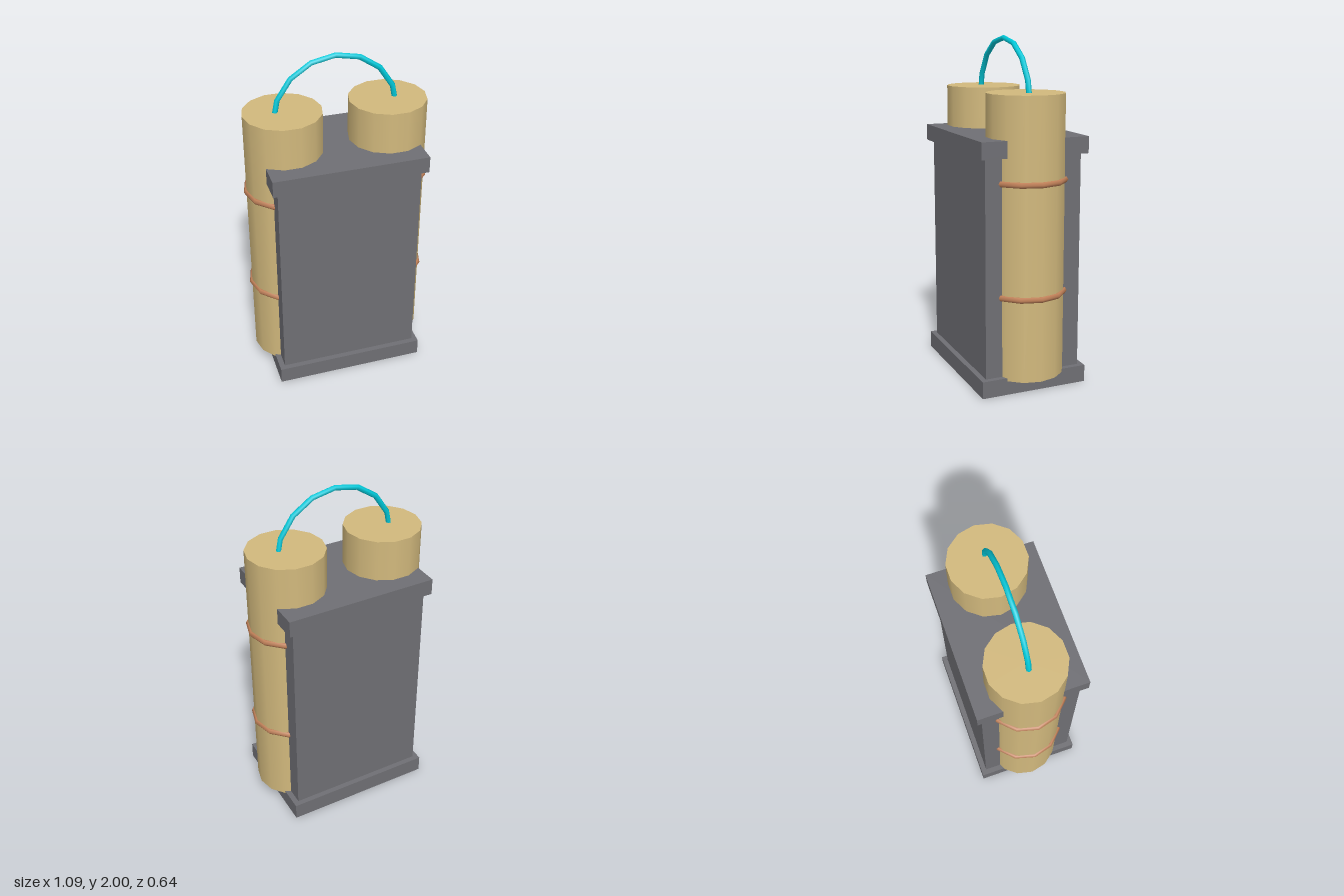
import * as THREE from 'three';

export function createModel() {
  const model = new THREE.Group();
  const mat = (color) => new THREE.MeshStandardMaterial({ color });
  const casing = mat(0x6f6f74), tan = mat(0xd2b97d), copper = mat(0xc08058), cyan = mat(0x00ccdd);

  const add = (name, geometry, material, x, y, z = 0) => {
    const mesh = new THREE.Mesh(geometry, material);
    mesh.name = name;
    mesh.position.set(x, y, z);
    model.add(mesh);
    return mesh;
  };

  // Casing with a protruding plate at the bottom and top
  add('casingBody', new THREE.BoxGeometry(0.834, 1.3, 0.58), casing, 0, 0.725);
  add('basePlate', new THREE.BoxGeometry(0.898, 0.1, 0.644), casing, 0, 0.05);
  add('topPlate', new THREE.BoxGeometry(0.898, 0.096, 0.644), casing, 0, 1.404);

  // A cylinder on each side, corners pointing along x, wrapped by two bands
  const cylinder = new THREE.CylinderGeometry(0.225, 0.225, 1.612, 14, 1, false, Math.PI / 2);
  const band = new THREE.TorusGeometry(0.223, 0.018, 6, 12).rotateX(Math.PI / 2);
  for (const [side, x] of [['left', 0.306], ['right', -0.306]]) {
    add(side + 'Cylinder', cylinder, tan, x, 0.888);
    add(side + 'LowerBand', band, copper, x, 0.567);
    add(side + 'UpperBand', band, copper, x, 1.213);
  }

  // Wire arching between the cylinder tops
  add('wire', new THREE.TorusGeometry(0.36, 0.016, 6, 8, Math.PI), cyan, 0, 1.624);

  return model;
}
